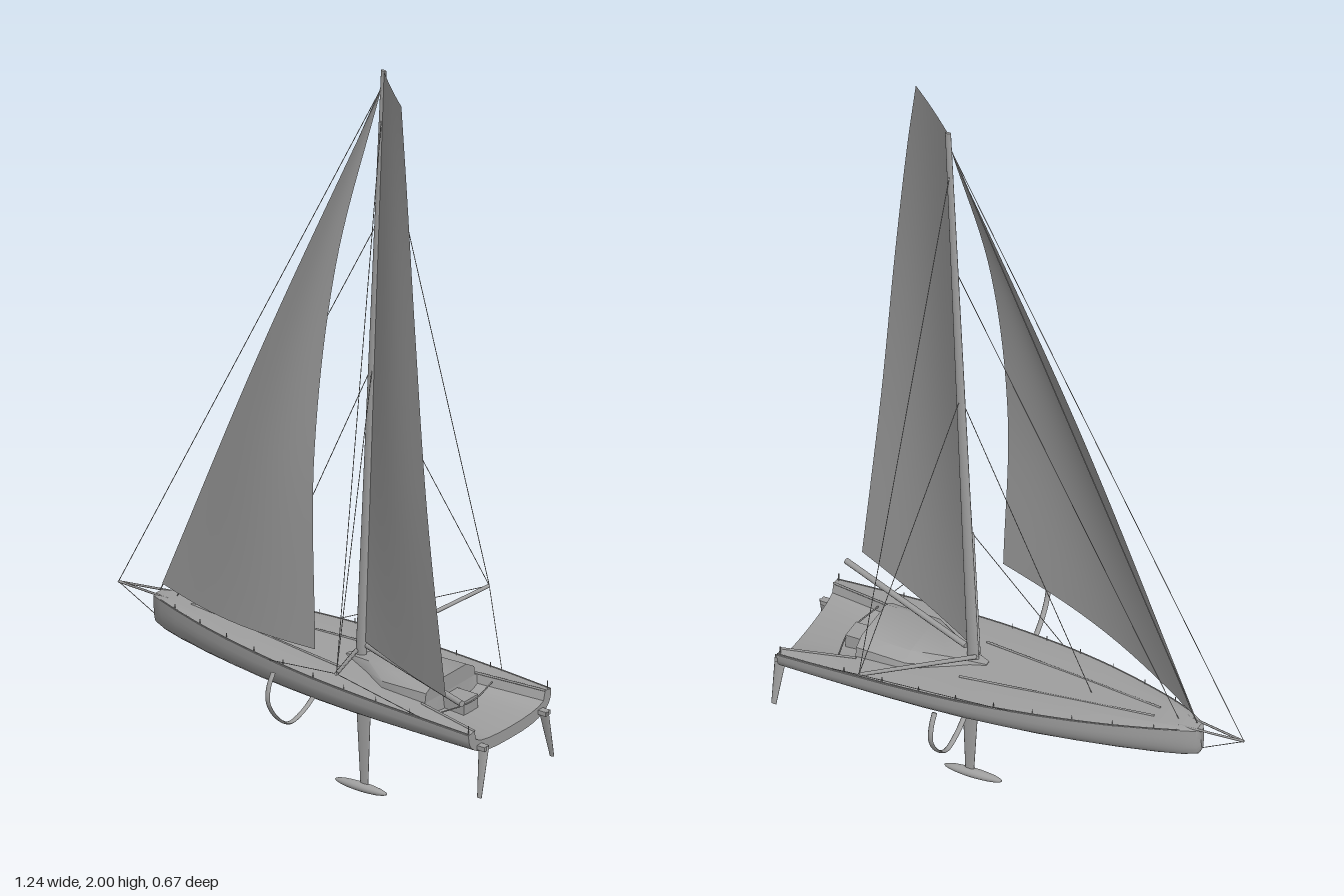
import * as THREE from 'three';
import { toCreasedNormals } from 'three/addons/utils/BufferGeometryUtils.js';

const mat = new THREE.MeshStandardMaterial({ color: 0x9f9f9f, side: THREE.DoubleSide });
const V = (x, y, z) => new THREE.Vector3(x, y, z);
const curve = (...pts) => new THREE.CatmullRomCurve3(pts.map((p) => V(...p)));

export function createModel() {
  const root = new THREE.Group();
  const add = (name, geo) => {
    const m = new THREE.Mesh(geo, mat);
    m.name = name;
    root.add(m);
    return m;
  };

  // Tapered round or flattened bar from a to b
  const rod = (name, a, b, ra, rb = ra, flat = 1, sides = 6) => {
    const p = V(...a), q = V(...b), dir = q.clone().sub(p);
    const m = add(name, new THREE.CylinderGeometry(rb, ra, dir.length(), sides).scale(1, 1, flat));
    m.position.copy(p).add(q).multiplyScalar(0.5);
    m.quaternion.setFromUnitVectors(V(0, 1, 0), dir.normalize());
  };
  const stay = (name, a, b) => rod(name, a, b, 0.001);

  // Closed skin through cross-sections along x; each ring is a list of [z, y]
  const loft = (name, sections) => {
    const pos = [], idx = [], n = sections[0].ring.length;
    sections.forEach(({ x, ring }) => ring.forEach(([z, y]) => pos.push(x, y, z)));
    for (let i = 0; i < sections.length - 1; i++)
      for (let j = 0; j < n; j++) {
        const a = i * n + j, d = i * n + (j + 1) % n;
        idx.push(a, a + n, d, a + n, d + n, d);
      }
    // end faces look outward
    [0, sections.length - 1].forEach((s) => {
      const flat = sections[s].ring.map(([z, y]) => new THREE.Vector2(z, y));
      THREE.ShapeUtils.triangulateShape(flat, []).forEach(([a, b, c]) => {
        const area = flat[b].clone().sub(flat[a]).cross(flat[c].clone().sub(flat[a]));
        const t = (area > 0) === (s === 0) ? [a, b, c] : [a, c, b];
        idx.push(...t.map((k) => k + s * n));
      });
    });
    const g = new THREE.BufferGeometry();
    g.setAttribute('position', new THREE.Float32BufferAttribute(pos, 3));
    g.setIndex(idx);
    add(name, toCreasedNormals(g, 0.6));
  };

  // Sail cloth between two edge curves; camber(v) is the belly towards +z at height v
  const sail = (name, luff, leech, camber) => {
    const g = new THREE.PlaneGeometry(1, 1, 14, 28), p = g.attributes.position;
    for (let i = 0; i < p.count; i++) {
      const u = p.getX(i) + 0.5, v = p.getY(i) + 0.5;
      const a = luff.getPointAt(v), b = leech.getPointAt(v), w = a.distanceTo(b);
      a.lerp(b, u);
      p.setXYZ(i, a.x, a.y, a.z + camber(v) * w * Math.sin(Math.PI * u));
    }
    g.computeVertexNormals();
    add(name, g);
  };

  // Hull with a rounded cockpit well open at the stern: x, half beam, sheer, bottom, well depth
  const stations = [
    [-0.505, 0.008, 0.36, 0.305, 0], [-0.497, 0.02, 0.369, 0.29, 0], [-0.46, 0.04, 0.373, 0.281, 0],
    [-0.4, 0.064, 0.374, 0.276, 0], [-0.3, 0.096, 0.373, 0.272, 0], [-0.2, 0.122, 0.372, 0.27, 0],
    [-0.1, 0.142, 0.37, 0.268, 0], [0, 0.157, 0.367, 0.268, 0], [0.1, 0.168, 0.364, 0.268, 0],
    [0.2, 0.174, 0.361, 0.268, 0], [0.3, 0.176, 0.357, 0.269, 0], [0.405, 0.176, 0.353, 0.27, 0],
    [0.41, 0.176, 0.353, 0.27, 0.04], [0.5, 0.175, 0.349, 0.271, 0.042], [0.59, 0.173, 0.345, 0.273, 0.044],
  ];
  loft('hull', stations.map(([x, w, top, bottom, depth]) => {
    const ring = [];
    for (let i = 0; i <= 20; i++) {
      const a = (i / 20) * Math.PI, c = Math.cos(a);
      ring.push([-w * Math.sign(c) * Math.abs(c) ** 0.7, top - (top - bottom) * Math.sin(a) ** 0.75]);
    }
    const inner = w * (0.64 + Math.max(0, x - 0.41) * 1.2);
    for (let i = 0; i <= 10; i++) {
      const a = (i / 10) * Math.PI;
      ring.push([inner * Math.cos(a), top + 0.004 - depth * Math.sin(a) ** 0.45]);
    }
    return { x, ring };
  }));

  // Coachroof: x, half width, roof height
  loft('coachroof', [[0.09, 0.012, 0.371], [0.18, 0.055, 0.385], [0.27, 0.105, 0.396], [0.405, 0.106, 0.4]]
    .map(([x, w, y]) => ({
      x,
      ring: [[-w, 0.35], [w, 0.35], [w * 0.95, y - 0.018], [w * 0.65, y], [-w * 0.65, y], [-w * 0.95, y - 0.018]],
    })));
  const hatch = add('companionway', new THREE.BoxGeometry(0.065, 0.04, 0.06));
  hatch.position.set(0.437, 0.33, 0);
  add('traveller', new THREE.TubeGeometry(
    curve([0.45, 0.345, -0.115], [0.472, 0.342, 0], [0.45, 0.345, 0.115]), 16, 0.002, 6));

  // Keel and ballast bulb
  rod('keelFin', [0.14, 0.015, 0], [0.137, 0.29, 0], 0.012, 0.025, 0.2, 16);
  const bulb = add('keelBulb', new THREE.SphereGeometry(1, 24, 12));
  bulb.scale.set(0.08, 0.012, 0.014);
  bulb.position.set(0.13, 0.012, 0);

  // Mast, boom and sails
  rod('mast', [0.13, 0.37, 0], [0.2, 2, 0], 0.016, 0.008, 0.5, 14);
  rod('boom', [0.15, 0.405, 0], [0.56, 0.42, 0.16], 0.008, 0.008, 1, 10);
  sail('mainsail', curve([0.14, 0.415, 0], [0.2, 1.998, 0]),
    curve([0.53, 0.44, 0.187], [0.485, 0.95, 0.205], [0.444, 1.4, 0.197], [0.395, 1.78, 0.167], [0.358, 1.998, 0.14]),
    (v) => 0.015 + 0.045 * Math.sin(Math.PI * v));
  sail('headsail', curve([-0.485, 0.398, 0], [-0.15, 1.17, 0.025], [0.192, 1.945, 0]),
    curve([0.165, 0.49, 0.24], [0.133, 1, 0.2], [0.142, 1.5, 0.12], [0.194, 1.945, 0.004]),
    (v) => 0.05 + 0.025 * Math.sin(Math.PI * v));

  // Bowsprit and fore stays
  const tip = [-0.62, 0.366, 0];
  stay('foreStay', tip, [0.198, 1.96, 0]);
  stay('innerStay', [-0.2, 0.37, 0], [0.165, 1.18, 0]);
  stay('staysailStay', [-0.44, 0.374, 0], [0.182, 1.58, 0]);
  rod('headsailStay', [-0.49, 0.38, 0], [0.192, 1.95, 0], 0.0015);
  stay('bobstay', tip, [-0.5, 0.305, 0]);

  // Paired gear on both sides
  for (const s of [-1, 1]) {
    rod('bowsprit', tip, [-0.45, 0.375, s * 0.022], 0.003);
    const out = [0.29, 0.488, s * 0.32];
    rod('outrigger', [0.12, 0.385, s * 0.008], out, 0.006, 0.005, 1, 8);
    stay('upperShroud', out, [0.194, 1.88, 0]);
    stay('lowerShroud', out, [0.165, 1.18, 0]);
    stay('outriggerForeGuy', out, [-0.05, 0.367, s * 0.148]);
    stay('outriggerAftGuy', out, [0.44, 0.352, s * 0.17]);

    // Curved lifting foil, flattened along the boat
    const foil = add('foil', new THREE.TubeGeometry(curve(
      [0, 0.3, s * 0.14], [0, 0.278, s * 0.18], [0, 0.266, s * 0.24], [0, 0.305, s * 0.298],
      [0, 0.36, s * 0.331], [0, 0.4, s * 0.326], [0, 0.43, s * 0.308]), 32, 0.0035, 8));
    foil.scale.x = 2;
    foil.position.x = 0.086;

    // Canted rudder with its stern bracket
    rod('rudder', [0.608, 0.172, s * 0.152], [0.602, 0.305, s * 0.125], 0.007, 0.016, 0.25, 12);
    const bracket = add('rudderBracket', new THREE.BoxGeometry(0.03, 0.012, 0.02));
    bracket.position.set(0.598, 0.3, s * 0.128);

    // Deck track, cockpit coaming and toe rail
    rod('deckTrack', [-0.38, 0.378, s * 0.018], [0.13, 0.369, s * 0.078], 0.003);
    rod('coaming', [0.4, 0.359, s * 0.112], [0.59, 0.349, s * 0.148], 0.003);
    add('toeRail', new THREE.TubeGeometry(new THREE.CatmullRomCurve3(
      stations.slice(2).map(([x, w, top]) => V(x, top + 0.002, s * w * 0.98))), 40, 0.0015, 5));

    // Low stanchions along the side deck and a post at the stern
    for (const [x, w, top] of stations.slice(3, 12))
      rod('stanchion', [x, top, s * w * 0.96], [x, top + 0.014, s * w * 0.96], 0.001);
    rod('sternPost', [0.584, 0.343, s * 0.165], [0.584, 0.368, s * 0.165], 0.0015);
  }
  return root;
}
